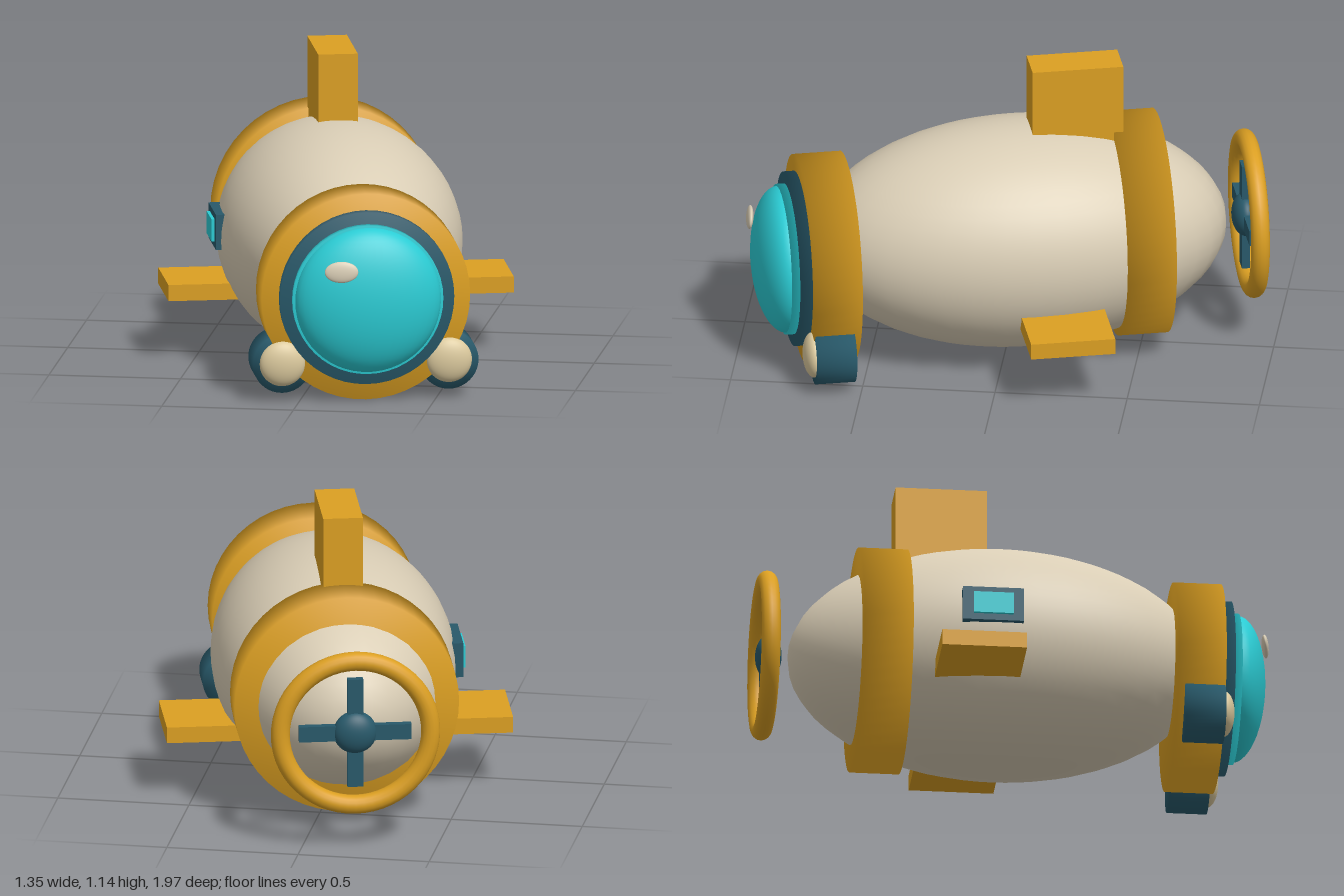
import * as THREE from 'three';

const mat = (name, color) => {
  const m = new THREE.MeshStandardMaterial({ color });
  m.name = name;
  return m;
};

export function createModel() {
  const gold = mat('gold', 0xdb9f22);
  const cream = mat('cream', 0xd9cdb5);
  const teal = mat('darkTeal', 0x28596a);
  const cyan = mat('cyanGlass', 0x2bccd4);
  const lampGlass = mat('lampGlass', 0xdcca9e);

  const model = new THREE.Group();
  model.name = 'submarine';
  // The hull is turned slightly to its left; all parts are built along local z
  const sub = new THREE.Group();
  sub.name = 'hullAssembly';
  sub.position.x = 0.037;
  sub.rotation.y = Math.PI / 12;
  model.add(sub);

  const add = (name, geometry, material, x, y, z) => {
    const mesh = new THREE.Mesh(geometry, material);
    mesh.name = name;
    mesh.position.set(x, y, z);
    sub.add(mesh);
    return mesh;
  };
  const box = (name, material, size, x, y, z) =>
    add(name, new THREE.BoxGeometry(...size), material, x, y, z);
  const ellipsoid = (name, material, radii, x, y, z) => {
    const mesh = add(name, new THREE.SphereGeometry(1, 40, 28), material, x, y, z);
    mesh.scale.set(...radii);
    return mesh;
  };
  // Closed drum along z whose rim normals blend softly into its faces
  const drum = (name, material, radius, length, x, y, z) => {
    const h = length / 2;
    const profile = [[0, -h], [radius, -h], [radius, h], [0, h]]
      .map(([r, a]) => new THREE.Vector2(r, a));
    const geometry = new THREE.LatheGeometry(profile, 48).rotateX(Math.PI / 2);
    return add(name, geometry, material, x, y, z);
  };

  // Hull and its two bands
  ellipsoid('hull', cream, [0.458, 0.435, 0.788], 0, 0.457, -0.04);
  drum('frontBand', gold, 0.395, 0.18, 0, 0.398, 0.704);
  drum('rearBand', gold, 0.424, 0.185, 0, 0.457, -0.484);

  // Nose window
  drum('noseFrame', teal, 0.33, 0.1, 0, 0.4, 0.785);
  drum('noseGlassRim', cyan, 0.285, 0.05, 0, 0.4, 0.84);
  ellipsoid('noseGlass', cyan, [0.277, 0.277, 0.115], 0, 0.4, 0.86);
  const glint = ellipsoid('glassGlint', cream, [0.063, 0.04, 0.013], -0.113, 0.53, 0.966);
  glint.rotation.set(-0.12, -0.1, 0);

  // Paired lamps and side fins
  for (const [side, label] of [[1, 'left'], [-1, 'right']]) {
    drum(label + 'LampHousing', teal, 0.111, 0.15, side * 0.316, 0.146, 0.715);
    ellipsoid(label + 'LampGlass', lampGlass, [0.086, 0.086, 0.04], side * 0.316, 0.147, 0.79);
    box(label + 'Fin', gold, [0.31, 0.062, 0.32], side * 0.499, 0.263, -0.146);
  }

  // Tower
  box('tower', gold, [0.15, 0.445, 0.345], 0, 0.9225, -0.254);

  // Porthole on the right side
  box('portholeFrame', teal, [0.05, 0.135, 0.23], -0.45, 0.493, -0.095);
  box('portholeGlass', cyan, [0.05, 0.085, 0.15], -0.462, 0.493, -0.095);

  // Propeller inside its guard ring
  add('propellerGuard', new THREE.TorusGeometry(0.284, 0.036, 16, 56), gold, 0, 0.46, -0.916);
  ellipsoid('propellerHub', teal, [0.082, 0.082, 0.05], 0, 0.457, -0.9);
  for (let i = 0; i < 2; i++) {
    const blade = box('propellerBlade', teal, [0.06, 0.425, 0.03], 0, 0.457, -0.9);
    blade.rotation.z = (i * Math.PI) / 2;
  }

  return model;
}
